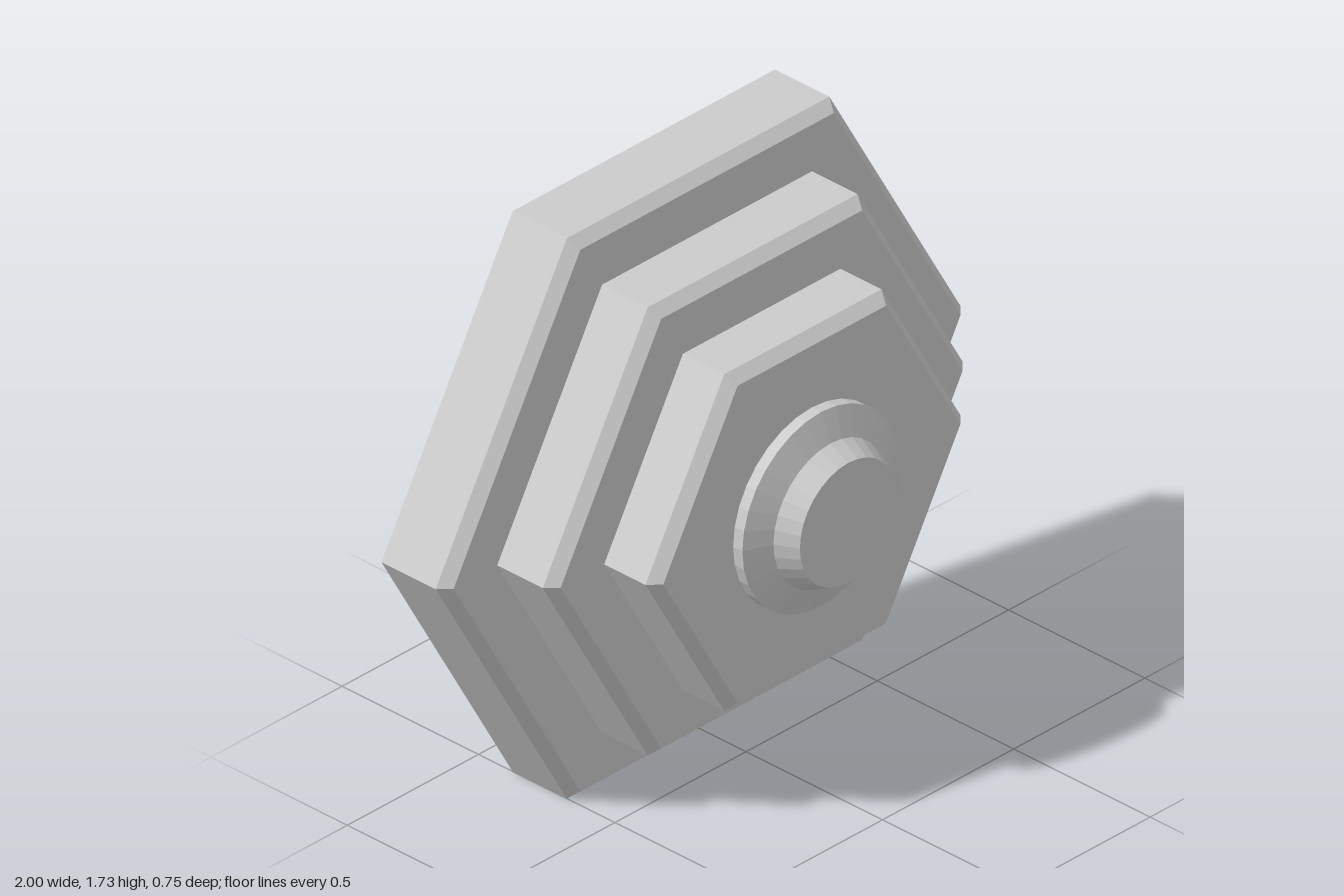
import * as THREE from 'three';

const material = new THREE.MeshStandardMaterial({ color: 0xcccccc, flatShading: true });
const CENTRE_Y = Math.sqrt(3) / 2;

// Closed solid turned around the z axis; profile is a list of [radius, z] from back to front
function turned(name, profile, sides) {
  const points = profile.map(([r, z]) => new THREE.Vector2(r, z));
  const geometry = new THREE.LatheGeometry(points, sides, Math.PI / 2);
  geometry.rotateX(Math.PI / 2);
  const mesh = new THREE.Mesh(geometry, material);
  mesh.name = name;
  mesh.position.y = CENTRE_Y;
  return mesh;
}

// Hexagonal slab with a chamfered front edge
function hexTier(name, radius, back, front) {
  const inset = 0.034, bevel = 0.033;
  return turned(name, [
    [0, back], [radius, back], [radius, front - bevel], [radius - inset, front], [0, front],
  ], 6);
}

export function createModel() {
  const group = new THREE.Group();
  group.name = 'steppedHexagon';

  // Three stacked hexagons, largest at the back
  group.add(hexTier('baseTier', 1, -0.375, -0.143));
  group.add(hexTier('middleTier', 0.8, -0.143, 0.057));
  group.add(hexTier('frontTier', 0.6, 0.057, 0.241));

  // Round collar with a sloping front, then the tapered knob
  group.add(turned('collar', [[0, 0.241], [0.3, 0.241], [0.3, 0.275], [0.217, 0.309], [0, 0.309]], 32));
  group.add(turned('knob', [[0, 0.309], [0.217, 0.309], [0.185, 0.375], [0, 0.375]], 32));

  return group;
}
